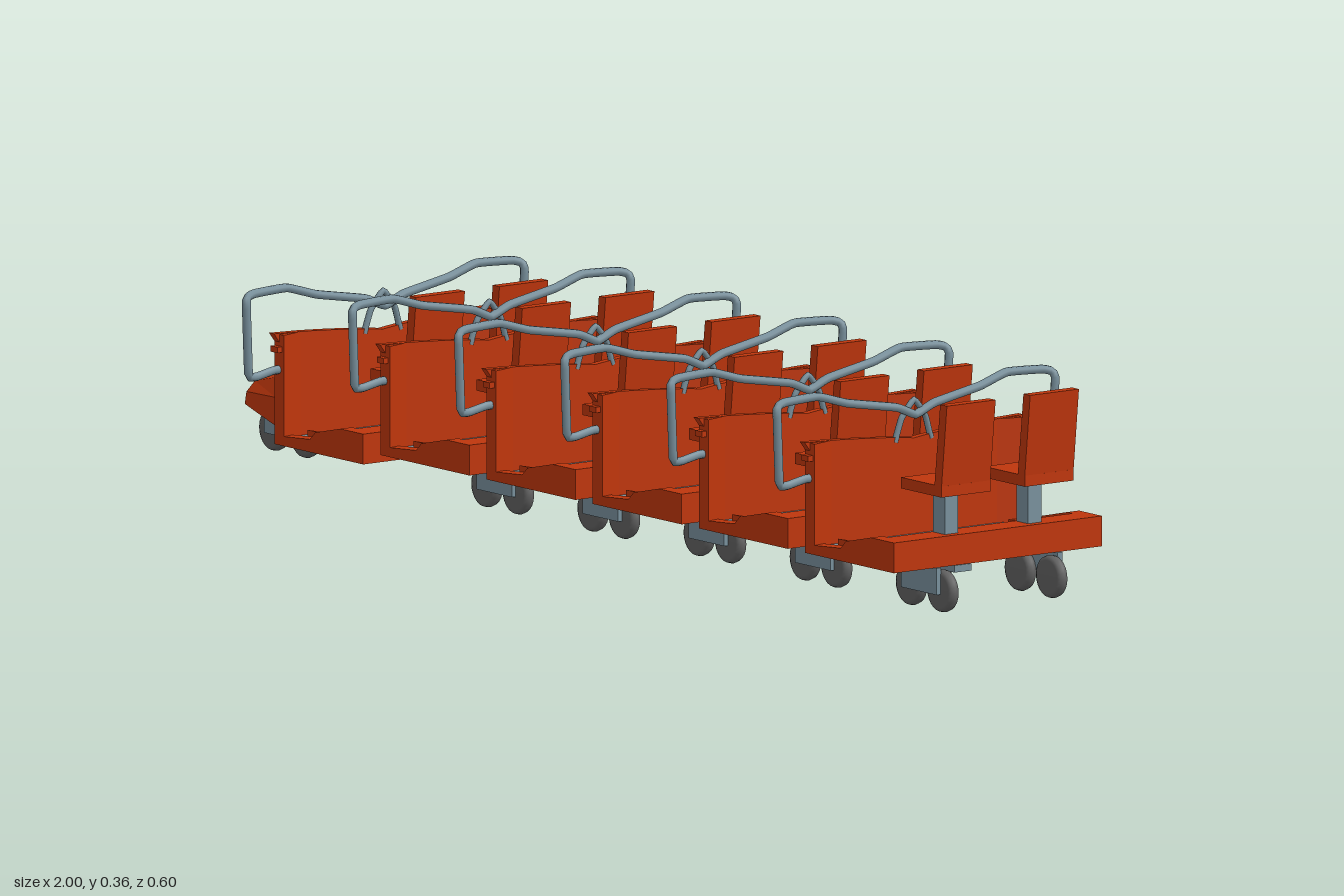
import * as THREE from 'three';

const paint = new THREE.MeshStandardMaterial({ color: 0xbf360c });
paint.name = 'orange paint';
paint.side = THREE.DoubleSide;
const steel = new THREE.MeshStandardMaterial({ color: 0x78909c });
steel.name = 'blue grey steel';
steel.side = THREE.DoubleSide;
const rubber = new THREE.MeshStandardMaterial({ color: 0x616161 });
rubber.name = 'dark grey wheel';

function add(parent, name, geometry, material, x = 0, y = 0, z = 0) {
  const mesh = new THREE.Mesh(geometry, material);
  mesh.name = name;
  mesh.position.set(x, y, z);
  parent.add(mesh);
  return mesh;
}

// Box given by its limits on each axis
function block(parent, name, material, [x0, x1], [y0, y1], [z0, z1]) {
  return add(parent, name, new THREE.BoxGeometry(x1 - x0, y1 - y0, z1 - z0), material,
    (x0 + x1) / 2, (y0 + y1) / 2, (z0 + z1) / 2);
}

// Side profile (x, y) extruded across z
function profile(parent, name, material, points, z0, z1) {
  const shape = new THREE.Shape(points.map(([x, y]) => new THREE.Vector2(x, y)));
  const geometry = new THREE.ExtrudeGeometry(shape, { depth: z1 - z0, bevelEnabled: false });
  return add(parent, name, geometry, material, 0, 0, z0);
}

function tube(parent, name, points, radius) {
  const path = new THREE.CatmullRomCurve3(points.map(p => new THREE.Vector3(...p)), false, 'catmullrom', 0.2);
  add(parent, name, new THREE.TubeGeometry(path, points.length * 6, radius, 8), steel);
}

// Two wheels and a bracket on each side
function bogie(parent, x, y) {
  const group = new THREE.Group();
  group.name = 'bogie';
  group.position.set(x, y, 0);
  parent.add(group);
  const wheel = new THREE.LatheGeometry([[0, -0.01], [0.029, -0.01], [0.035, -0.007], [0.037, 0],
    [0.035, 0.007], [0.029, 0.01], [0, 0.01]].map(p => new THREE.Vector2(...p)), 24);
  wheel.rotateX(Math.PI / 2);
  for (const s of [-1, 1]) {
    for (const wx of [-0.044, 0.044]) add(group, 'wheel', wheel, rubber, wx, 0, s * 0.115);
    add(group, 'wheelBracket', new THREE.BoxGeometry(0.1, 0.046, 0.01), steel, 0, 0.018, s * 0.128);
  }
}

// Front panel with a dipped top edge and small flared corners
function panelGeometry() {
  const s = new THREE.Shape();
  s.moveTo(-0.22, 0.08);
  s.lineTo(0.22, 0.08);
  s.lineTo(0.22, 0.255);
  s.lineTo(0.231, 0.27);
  s.lineTo(0.17, 0.268);
  s.quadraticCurveTo(0.06, 0.262, 0, 0.254);
  s.quadraticCurveTo(-0.06, 0.262, -0.17, 0.268);
  s.lineTo(-0.231, 0.27);
  s.lineTo(-0.22, 0.255);
  const g = new THREE.ExtrudeGeometry(s, { depth: 0.014, bevelEnabled: false });
  return g.rotateY(Math.PI / 2);
}

function seat(parent, z) {
  const group = new THREE.Group();
  group.name = 'seat';
  parent.add(group);
  const w = 0.0515;
  block(group, 'seatCushion', paint, [0.163, 0.277], [0.203, 0.222], [z - w, z + w]);
  profile(group, 'seatBack', paint, [[0.255, 0.204], [0.275, 0.204], [0.292, 0.362], [0.273, 0.362]], z - w, z + w);
  block(group, 'seatPost', steel, [0.203, 0.236], [0.125, 0.205], [z - 0.014, z + 0.014]);
}

function car(x, y) {
  const group = new THREE.Group();
  group.name = 'car';
  group.position.set(x, y, 0);

  // Tub: underside, raised sides and rear deck
  block(group, 'underside', paint, [0, 0.25], [0.078, 0.086], [-0.22, 0.22]);
  block(group, 'rearDeck', paint, [0.2, 0.25], [0.086, 0.13], [-0.195, 0.195]);
  const side = [[0, 0.078], [0.25, 0.078], [0.25, 0.13], [0.185, 0.13], [0.115, 0.114], [0.1, 0.1], [0.02, 0.094], [0, 0.094]];
  for (const s of [-1, 1]) {
    profile(group, 'tubSide', paint, side, s * 0.2075 - 0.0125, s * 0.2075 + 0.0125);
    // Inner wedge narrowing the footwell toward the rear
    const wedge = new THREE.Shape([[0.06, 0.195], [0.2, 0.195], [0.2, 0.165], [0.14, 0.175]]
      .map(([a, b]) => new THREE.Vector2(a, -s * b)));
    const g = new THREE.ExtrudeGeometry(wedge, { depth: 0.022, bevelEnabled: false }).rotateX(-Math.PI / 2);
    add(group, 'footwellWedge', g, paint, 0, 0.086, 0);
    // Thickened corner of the front panel
    const corner = new THREE.Shape([[0.014, 0.22], [0.027, 0.22], [0.014, 0.175]]
      .map(([a, b]) => new THREE.Vector2(a, -s * b)));
    const c = new THREE.ExtrudeGeometry(corner, { depth: 0.178, bevelEnabled: false }).rotateX(-Math.PI / 2);
    add(group, 'panelCorner', c, paint, 0, 0.09, 0);
    seat(group, s * 0.088);
    block(group, 'barPivot', paint, [0.003, 0.022], [0.238, 0.248], [s * 0.224 - 0.006, s * 0.224 + 0.006]);
  }
  profile(group, 'floor', steel, [[0.014, 0.084], [0.2, 0.084], [0.2, 0.127], [0.135, 0.094], [0.014, 0.09]], -0.195, 0.195);
  add(group, 'frontPanel', panelGeometry(), paint);

  // Lap bar: side loops joined over the panel, with a centre prop
  const half = [[0.012, 0.207, 0.2], [0.012, 0.207, 0.23], [0.014, 0.2, 0.27], [0.014, 0.202, 0.284],
    [0.016, 0.218, 0.287], [0.02, 0.325, 0.294], [0.016, 0.338, 0.29], [0.012, 0.343, 0.272],
    [0.008, 0.345, 0.2], [0.012, 0.328, 0.14], [0.018, 0.311, 0.04]];
  const other = half.map(([a, b, c]) => [a, b, -c]).reverse();
  tube(group, 'lapBar', [...half, [0.018, 0.295, 0], ...other], 0.0075);
  tube(group, 'barProp', [[0.01, 0.25, 0.038], [0.012, 0.29, 0.025], [0.014, 0.32, 0],
    [0.012, 0.29, -0.025], [0.01, 0.25, -0.038]], 0.0055);
  return group;
}

// Nose shell lofted through arched sections
function noseGeometry() {
  const arch = [[1, 0], [0.97, 0.4], [0.82, 0.72], [0.5, 0.95], [0, 1], [-0.5, 0.95], [-0.82, 0.72], [-0.97, 0.4], [-1, 0]];
  const sections = [[-1, 0.12, 0.135], [-0.815, 0.2, 0.195], [-0.784, 0.212, 0.14]];
  const pos = [], index = [], n = arch.length;
  for (const [x, w, top] of sections)
    for (const [a, b] of arch) pos.push(x, 0.083 + (top - 0.083) * b, w * a);
  for (let i = 0; i < sections.length - 1; i++)
    for (let j = 0; j < n - 1; j++) {
      const a = i * n + j, b = a + n;
      index.push(a, b, a + 1, b, b + 1, a + 1);
    }
  for (let j = 1; j < n - 1; j++) index.push(0, j, j + 1);
  const g = new THREE.BufferGeometry();
  g.setAttribute('position', new THREE.Float32BufferAttribute(pos, 3));
  g.setIndex(index);
  const flat = g.toNonIndexed();
  flat.computeVertexNormals();
  return flat;
}

export function createModel() {
  const train = new THREE.Group();
  train.name = 'coasterTrain';
  // Six cars; the lead car sits lower and rides on the nose wheels
  for (let i = 0; i < 6; i++) {
    const c = car(-0.784 + 0.2984 * i, i === 0 ? -0.023 : 0);
    if (i > 0) bogie(c, 0.204, 0.037);
    train.add(c);
  }
  add(train, 'nose', noseGeometry(), paint);
  bogie(train, -0.878, 0.05);
  block(train, 'couplingBar', steel, [-0.71, 0.86], [0.044, 0.056], [-0.018, 0.018]);
  return train;
}
